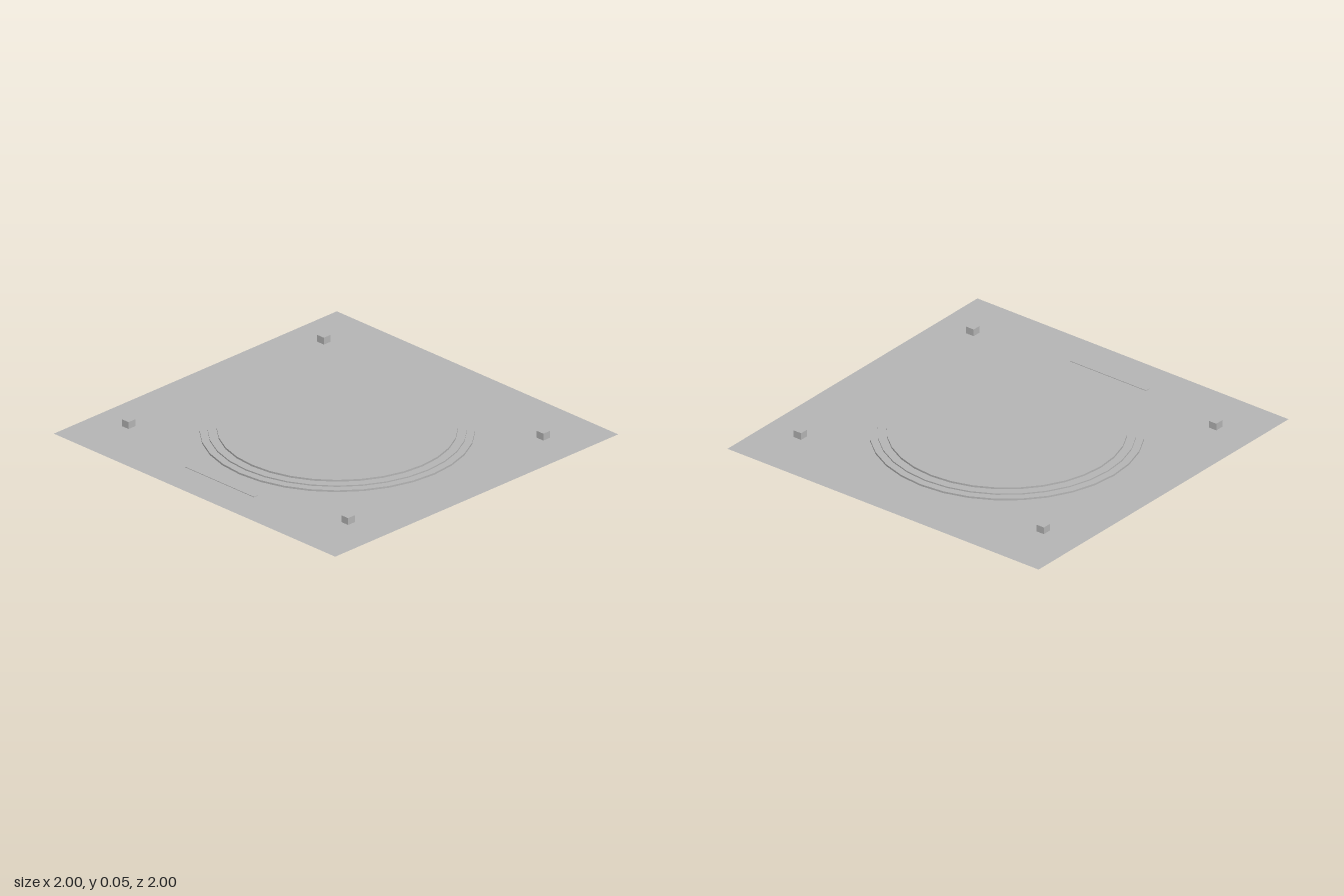
import * as THREE from 'three';

export function createModel() {
  const model = new THREE.Group();
  model.name = 'landingPad';

  const concrete = new THREE.MeshStandardMaterial({ color: 0xb4b4b4, side: THREE.DoubleSide });
  concrete.name = 'concrete grey';

  const add = (name, geometry, x, y, z) => {
    const mesh = new THREE.Mesh(geometry, concrete);
    mesh.name = name;
    mesh.position.set(x, y, z);
    model.add(mesh);
    return mesh;
  };

  // Flat square apron
  add('apron', new THREE.PlaneGeometry(2, 2).rotateX(-Math.PI / 2), 0, 0, 0);

  // Three stepped discs: name, radius, bottom, top
  const tiers = [
    ['lowerDisc', 0.69, 0.005, 0.015],
    ['middleDisc', 0.65, 0.015, 0.022],
    ['upperDisc', 0.605, 0.022, 0.032],
  ];
  for (const [name, radius, bottom, top] of tiers) {
    const disc = new THREE.CylinderGeometry(radius, radius, top - bottom, 32);
    add(name, disc, -0.002, (bottom + top) / 2, -0.011);
  }

  // Corner lamps
  for (const x of [-0.78, 0.78]) {
    for (const z of [-0.69, 0.69]) {
      add('cornerLamp', new THREE.BoxGeometry(0.048, 0.038, 0.048), x, 0.031, z);
    }
  }

  // Thin painted bar along the front edge
  add('frontStripe', new THREE.BoxGeometry(0.49, 0.003, 0.028), -0.016, 0.0025, 0.794);

  return model;
}
